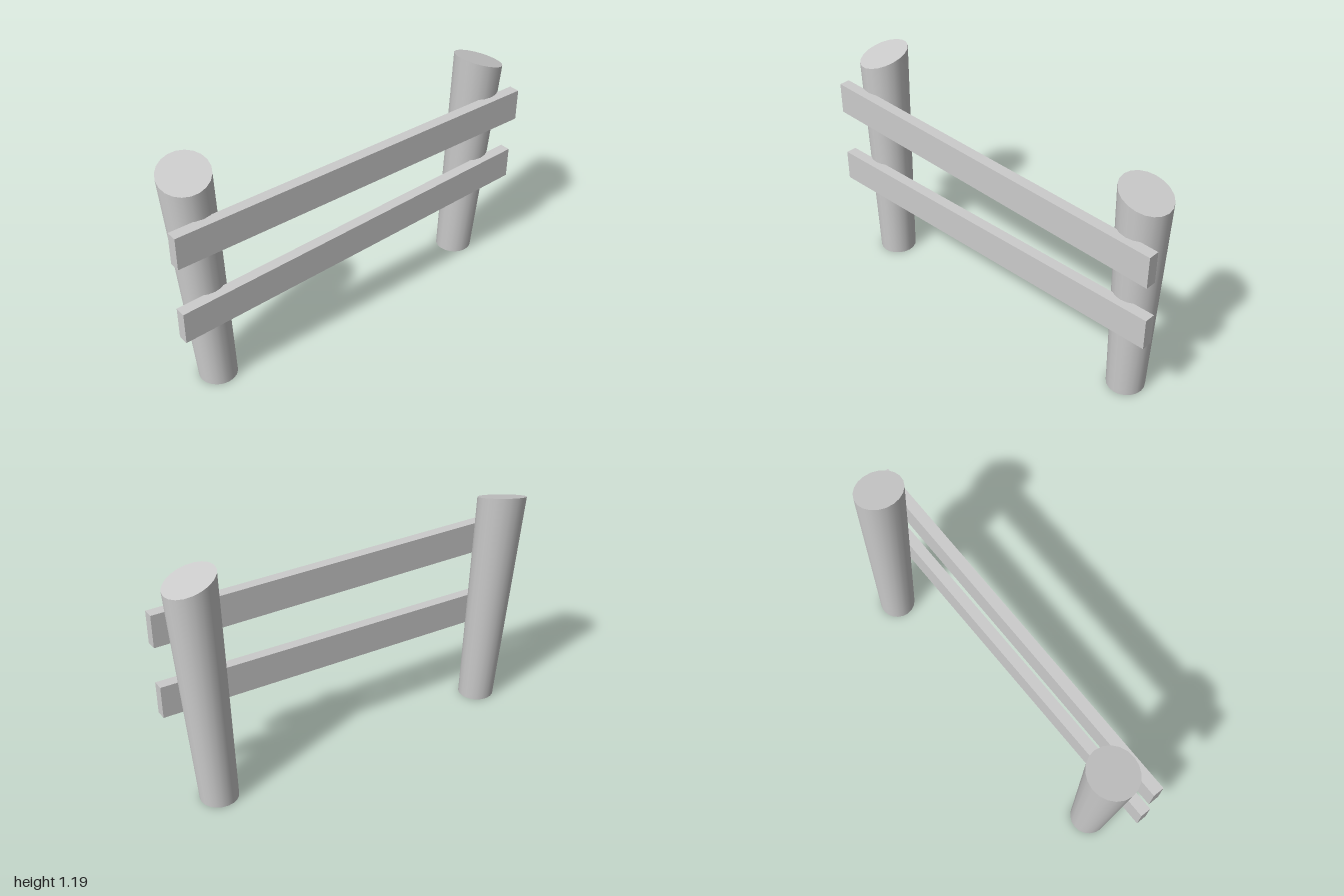
import * as THREE from 'three';

const SIDES = 20;
const BASE_R = 0.094;
const TOP_R = 0.122;
const grey = new THREE.MeshStandardMaterial({ color: 0xcccccc, side: THREE.DoubleSide });

// Leaning, flaring post, open underneath, with a slanted saw cut on top.
// base and top are [x, z] centres; slope is the rise of the cut along [x, z].
function makePost(name, base, top, topY, slope) {
  const post = new THREE.Group();
  post.name = name;
  const cutY = (x, z) => topY + slope[0] * x + slope[1] * z;

  const wall = new THREE.CylinderGeometry(TOP_R, BASE_R, 1, SIDES, 1, true);
  const p = wall.attributes.position;
  for (let i = 0; i < p.count; i++) {
    const x = p.getX(i), z = p.getZ(i);
    if (p.getY(i) > 0) p.setXYZ(i, top[0] + x, cutY(x, z), top[1] + z);
    else p.setXYZ(i, base[0] + x, 0, base[1] + z);
  }
  const wallMesh = new THREE.Mesh(wall, grey);
  wallMesh.name = 'postWall';

  const cap = new THREE.CircleGeometry(TOP_R, SIDES, Math.PI / 2).rotateX(-Math.PI / 2);
  const c = cap.attributes.position;
  for (let i = 0; i < c.count; i++) {
    const x = c.getX(i), z = c.getZ(i);
    c.setXYZ(i, top[0] + x, cutY(x, z), top[1] + z);
  }
  cap.computeVertexNormals();
  const capMesh = new THREE.Mesh(cap, grey);
  capMesh.name = 'postCut';

  post.add(wallMesh, capMesh);
  return post;
}

// Plank running the full length; front and back are the [x, y] centres of its ends.
function makeRail(name, front, back) {
  const geo = new THREE.BoxGeometry(0.055, 0.163, 2);
  const p = geo.attributes.position;
  for (let i = 0; i < p.count; i++) {
    const end = p.getZ(i) > 0 ? front : back;
    p.setXY(i, p.getX(i) + end[0], p.getY(i) + end[1]);
  }
  geo.computeVertexNormals();
  const rail = new THREE.Mesh(geo, grey);
  rail.name = name;
  return rail;
}

export function createModel() {
  const fence = new THREE.Group();
  fence.name = 'fence';
  fence.add(
    makePost('frontPost', [0.003, 0.78], [-0.034, 0.837], 1.147, [-0.28, -0.17]),
    makePost('backPost', [-0.036, -0.808], [0.005, -0.848], 1.147, [0, 0.34]),
    makeRail('upperRail', [0.105, 0.895], [0.127, 0.895]),
    makeRail('lowerRail', [0.105, 0.482], [0.105, 0.536]),
  );
  return fence;
}
